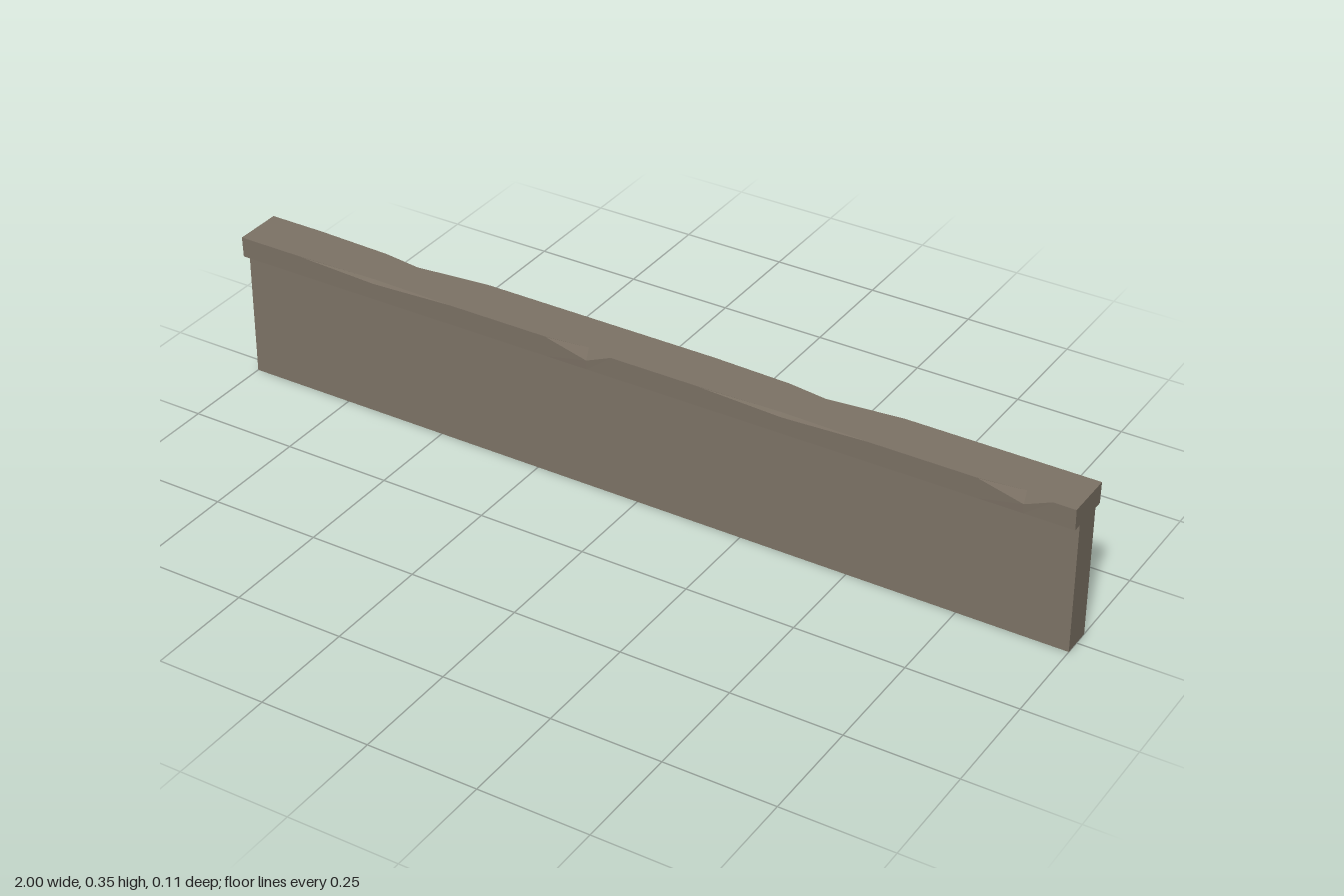
import * as THREE from 'three';

// Chips along the top edges of one 1-unit section: [x, inward cut, downward drop]
const frontChips = [[-1, 0, 0], [-0.84, 0, 0], [-0.65, 0.005, 0.008], [-0.45, 0, 0], [-0.21, 0, 0], [-0.11, 0.011, 0.025], [-0.05, 0, 0], [0, 0, 0]];
const backChips = [[-1, 0, 0], [-0.87, 0, 0], [-0.69, 0.006, 0.012], [-0.6, 0.018, 0.025], [-0.43, 0, 0], [0, 0, 0]];

// Linear lookup of the chip size at x
function chipAt(chips, x) {
  let i = 0;
  while (i < chips.length - 2 && x > chips[i + 1][0]) i++;
  const [a, b] = [chips[i], chips[i + 1]];
  const t = (x - a[0]) / (b[0] - a[0]);
  return [1, 2].map((k) => a[k] + (b[k] - a[k]) * t);
}

// Cap cross-section as [y, z], running from bottom front over the top to bottom back
function capProfile(x) {
  const [fc, fd] = chipAt(frontChips, x);
  const [bc, bd] = chipAt(backChips, x);
  return [
    [0.302, 0.055], [0.349 - fd, 0.0565], [0.35, 0.0565 - fc],
    [0.35, -0.0565 + bc], [0.349 - bd, -0.0565], [0.302, -0.055],
  ];
}

// Loft the cap through its stations, close both ends
function capGeometry() {
  const section = [...new Set([...frontChips, ...backChips].map((c) => c[0]))].sort((a, b) => a - b);
  const rings = [];
  for (const shift of [0, 1]) {
    for (const x of section) {
      if (shift === 1 && x === -1) continue;
      rings.push(capProfile(x).map(([y, z]) => [x + shift, y, z]));
    }
  }
  const pos = [];
  const tri = (a, b, c) => pos.push(...a, ...b, ...c);
  for (let i = 0; i < rings.length - 1; i++) {
    const [p, q] = [rings[i], rings[i + 1]];
    for (let j = 0; j < 6; j++) {
      const k = (j + 1) % 6;
      tri(p[j], q[j], q[k]);
      tri(p[j], q[k], p[k]);
    }
  }
  const [first, last] = [rings[0], rings[rings.length - 1]];
  for (let j = 1; j < 5; j++) {
    tri(first[0], first[j], first[j + 1]);
    tri(last[0], last[j + 1], last[j]);
  }
  const g = new THREE.BufferGeometry();
  g.setAttribute('position', new THREE.Float32BufferAttribute(pos, 3));
  g.computeVertexNormals();
  return g;
}

export function createModel() {
  const group = new THREE.Group();
  group.name = 'lowWall';
  const stone = new THREE.MeshStandardMaterial({ color: 0x7d7366, flatShading: true });
  stone.name = 'stone';

  // Upright slab
  const slab = new THREE.Mesh(new THREE.BoxGeometry(2, 0.302, 0.07), stone);
  slab.name = 'wallSlab';
  slab.position.y = 0.151;
  group.add(slab);

  // Overhanging chipped cap
  const cap = new THREE.Mesh(capGeometry(), stone);
  cap.name = 'chippedCap';
  group.add(cap);
  return group;
}
